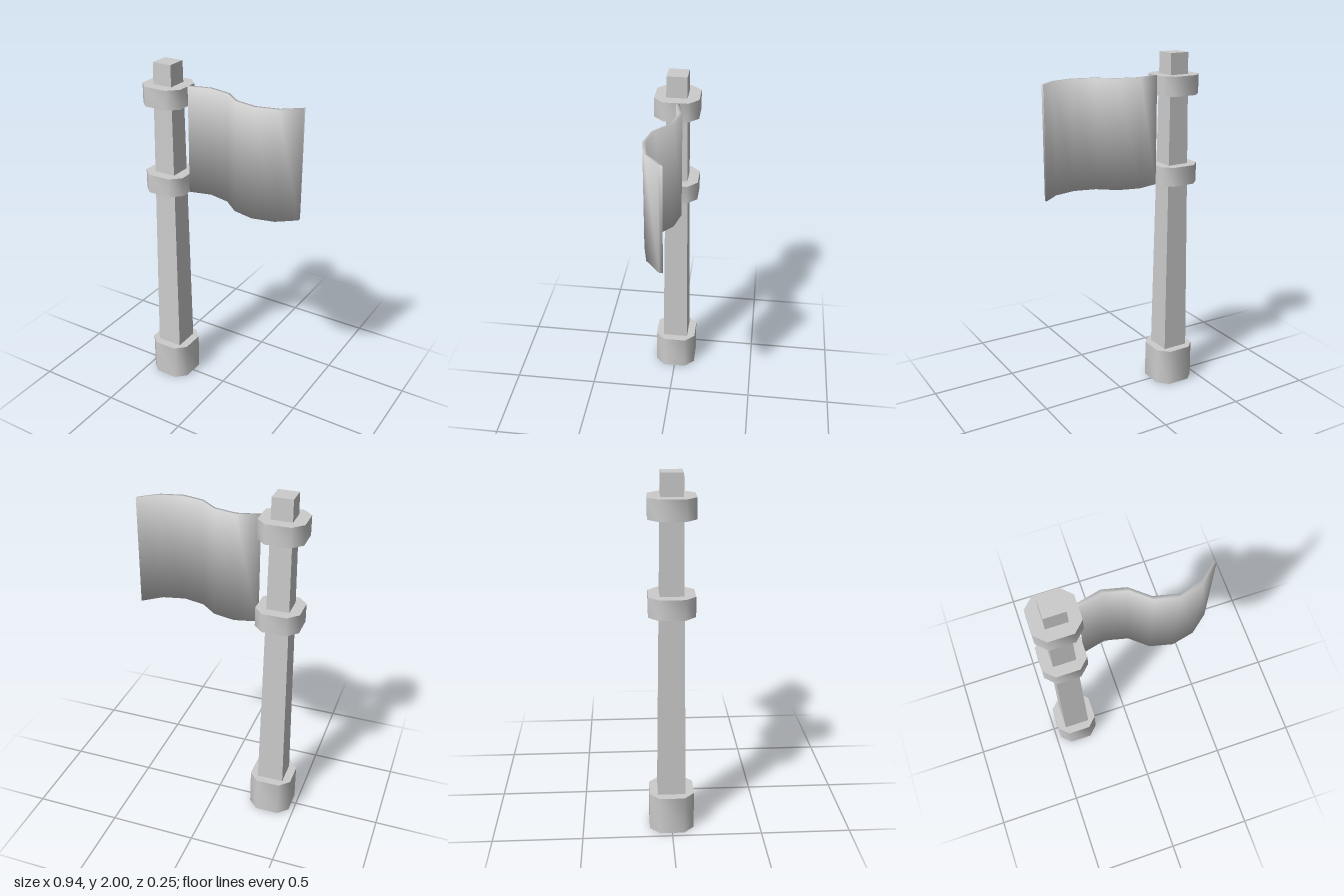
import * as THREE from 'three';
import { toCreasedNormals } from 'three/addons/utils/BufferGeometryUtils.js';

const POLE_X = -0.348;

// Raise a plan outline of [x, z] points from y0 to y1
function raise(points, y0, y1, crease) {
  const shape = new THREE.Shape(points.map(([x, z]) => new THREE.Vector2(x, -z)));
  const geometry = new THREE.ExtrudeGeometry(shape, { depth: y1 - y0, bevelEnabled: false });
  geometry.rotateX(-Math.PI / 2).translate(0, y0, 0);
  return toCreasedNormals(geometry, crease);
}

export function createModel() {
  const group = new THREE.Group();
  group.name = 'flagpole';
  const grey = new THREE.MeshStandardMaterial({ color: 0xcccccc });
  grey.name = 'plain grey';

  const add = (name, geometry) => {
    const mesh = new THREE.Mesh(geometry, grey);
    mesh.name = name;
    group.add(mesh);
  };

  // Tapered square post
  const post = new THREE.CylinderGeometry(0.057 * Math.SQRT2, 0.077 * Math.SQRT2, 1.8, 4)
    .rotateY(Math.PI / 4).translate(POLE_X, 1.1, 0).toNonIndexed();
  post.computeVertexNormals();
  add('post', post);

  // Octagonal foot and two collars, with softened upright edges
  const a = 0.124, b = 0.068;
  const octagon = [[a, b], [a, -b], [b, -a], [-b, -a], [-a, -b], [-a, b], [-b, a], [b, a]]
    .map(([x, z]) => [POLE_X + x, z]);
  for (const [name, y0, y1] of [['foot', 0, 0.22], ['lowerCollar', 1.26, 1.37], ['upperCollar', 1.77, 1.88]]) {
    add(name, raise(octagon, y0, y1, 1));
  }

  // Waving cloth, softly shaded over its thin rim
  const wave = [[-0.224, -0.012], [-0.098, -0.042], [0.027, -0.012], [0.123, 0.069],
    [0.246, 0.098], [0.371, 0.07], [0.47, -0.011]];
  const outline = [
    ...wave.map(([x, z]) => [x, z + 0.01]),
    ...wave.map(([x, z]) => [x, z - 0.01]).reverse(),
  ];
  add('flag', raise(outline, 1.26, 1.88, 1.7));

  return group;
}
